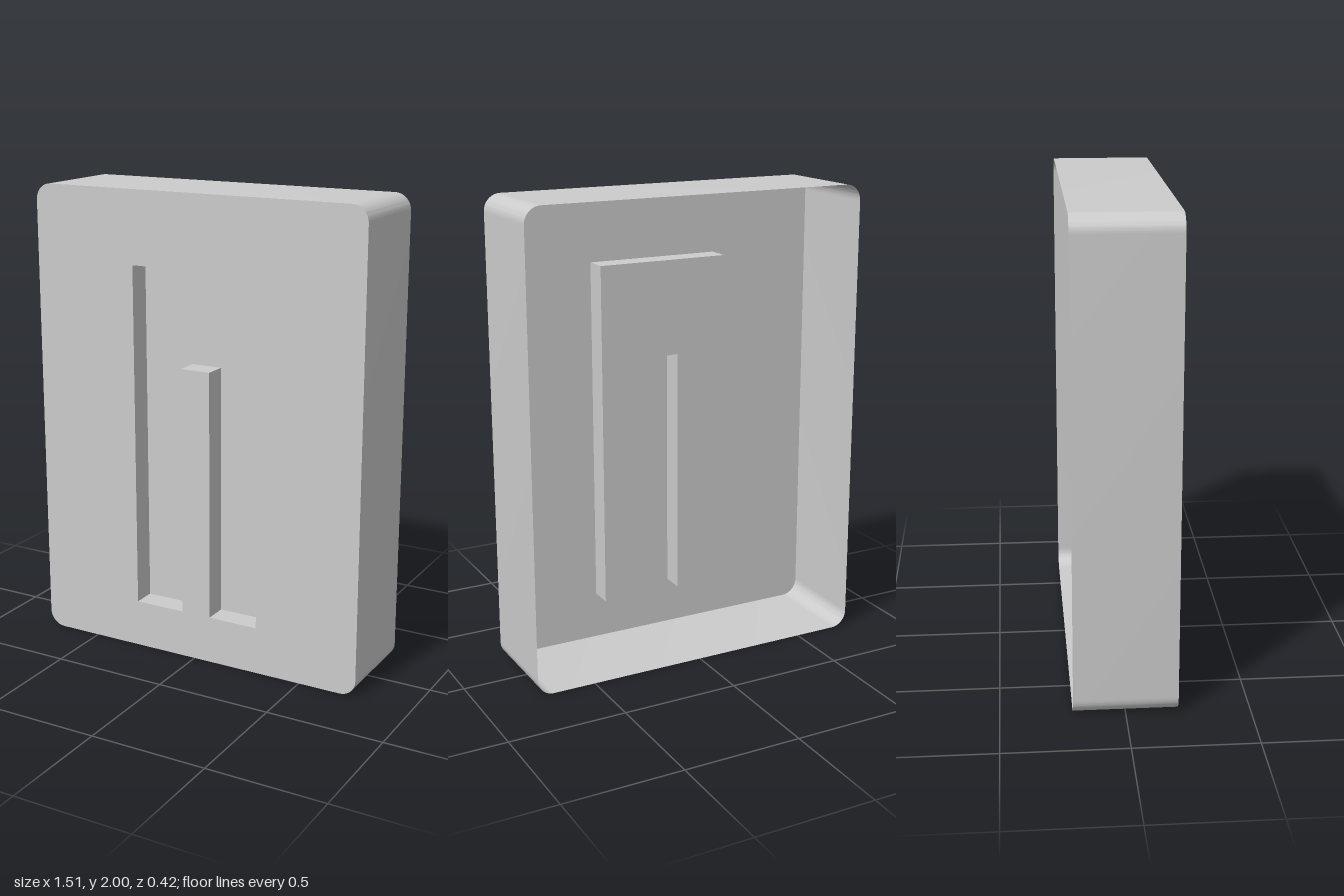
import * as THREE from 'three';
import { toCreasedNormals } from 'three/addons/utils/BufferGeometryUtils.js';

const W = 0.755, H = 2, R = 0.07;          // panel half width, height, corner radius
const FRONT = 0.21, BACK = -0.21, POCKET = 0.11;

const material = new THREE.MeshStandardMaterial({ color: 0xcccccc, side: THREE.DoubleSide });

function addMesh(group, name, geometry, z = 0) {
  const mesh = new THREE.Mesh(geometry, material);
  mesh.name = name;
  mesh.position.z = z;
  group.add(mesh);
}

// Sheet wall following a closed outline between two depths
function wallGeometry(points, zFront, zBack) {
  const pos = [];
  points.forEach((a, i) => {
    const b = points[(i + 1) % points.length];
    if (a.distanceTo(b) < 1e-6) return;
    pos.push(
      a.x, a.y, zFront, a.x, a.y, zBack, b.x, b.y, zBack,
      a.x, a.y, zFront, b.x, b.y, zBack, b.x, b.y, zFront);
  });
  const geometry = new THREE.BufferGeometry();
  geometry.setAttribute('position', new THREE.Float32BufferAttribute(pos, 3));
  return toCreasedNormals(geometry, 0.5);
}

export function createModel() {
  const group = new THREE.Group();
  group.name = 'recessedPanel';

  // Rounded rectangular outline, counter-clockwise
  const outline = new THREE.Shape();
  outline.absarc(W - R, R, R, -Math.PI / 2, 0);
  outline.absarc(W - R, H - R, R, 0, Math.PI / 2);
  outline.absarc(-W + R, H - R, R, Math.PI / 2, Math.PI);
  outline.absarc(-W + R, R, R, Math.PI, Math.PI * 1.5);
  outline.closePath();

  // Two-legged recess, clockwise so its walls face into the cavity
  const recess = [
    [-0.285, 0.205], [-0.285, 1.69], [0.297, 1.69], [0.297, 0.205],
    [0.075, 0.205], [0.075, 1.28], [-0.06, 1.28], [-0.06, 0.205],
  ].map(([x, y]) => new THREE.Vector2(x, y));

  // Front sheet with the recess opening
  outline.holes.push(new THREE.Path(recess));
  addMesh(group, 'frontPanel', new THREE.ShapeGeometry(outline, 12), FRONT);

  // Thin side walls, open at the back
  addMesh(group, 'outerWalls', wallGeometry(outline.getPoints(12), FRONT, BACK));

  // Recess walls and floor
  addMesh(group, 'recessWalls', wallGeometry(recess, FRONT, POCKET));
  addMesh(group, 'recessFloor', new THREE.ShapeGeometry(new THREE.Shape(recess)), POCKET);

  return group;
}
